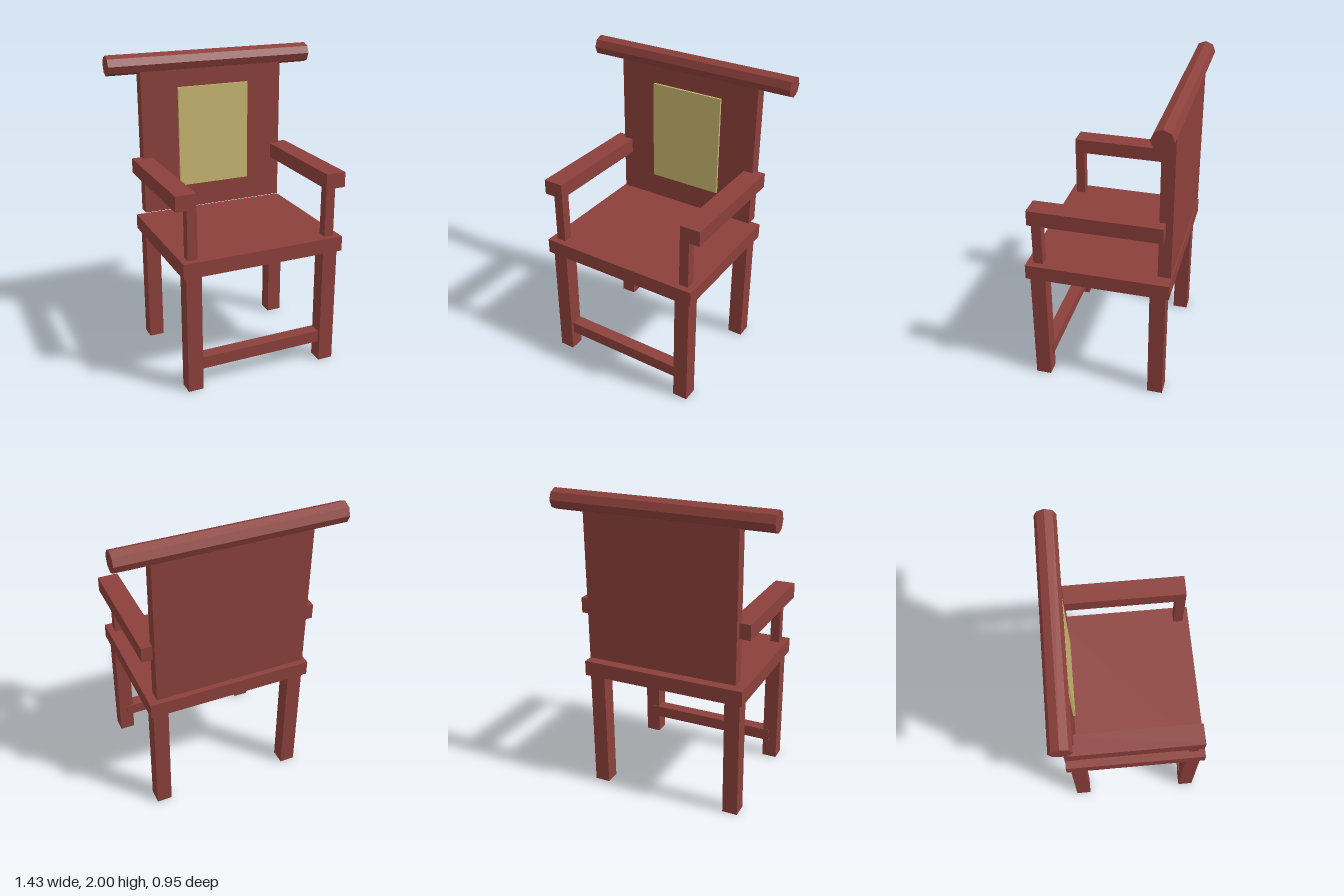
import * as THREE from 'three';

export function createModel() {
  const group = new THREE.Group();
  const wood = new THREE.MeshStandardMaterial({ color: 0x8c403b });
  wood.name = 'red wood';
  const gold = new THREE.MeshStandardMaterial({ color: 0xc9b570 });
  gold.name = 'pale gold';

  // Box given by its extents along each axis
  function box(name, [x0, x1], [y0, y1], [z0, z1], material = wood) {
    const mesh = new THREE.Mesh(new THREE.BoxGeometry(x1 - x0, y1 - y0, z1 - z0), material);
    mesh.position.set((x0 + x1) / 2, (y0 + y1) / 2, (z0 + z1) / 2);
    mesh.name = name;
    group.add(mesh);
  }

  // Box repeated on both sides; x extents are for the left (+x) side
  function pair(name, [x0, x1], y, z) {
    box(name + 'Left', [x0, x1], y, z);
    box(name + 'Right', [-x1, -x0], y, z);
  }

  // Seat and legs
  box('seat', [-0.543, 0.543], [0.795, 0.893], [-0.445, 0.475]);
  pair('frontLeg', [0.42, 0.52], [0, 0.795], [0.353, 0.453]);
  pair('backLeg', [0.42, 0.52], [0, 0.795], [-0.42, -0.32]);
  box('frontStretcher', [-0.462, 0.462], [0.13, 0.21], [0.346, 0.43]);

  // Armrests on front posts
  pair('armPost', [0.437, 0.5], [0.893, 1.212], [0.37, 0.433]);
  pair('armrest', [0.437, 0.57], [1.212, 1.311], [-0.403, 0.433]);

  // Backrest with a raised gold panel
  box('backrest', [-0.5, 0.5], [0.928, 1.93], [-0.445, -0.363]);
  box('backPanel', [-0.25, 0.25], [1.093, 1.77], [-0.363, -0.348], gold);

  // Octagonal top rail
  const railGeometry = new THREE.CylinderGeometry(0.066, 0.066, 1.426, 8).toNonIndexed();
  railGeometry.computeVertexNormals();
  const rail = new THREE.Mesh(railGeometry, wood);
  rail.name = 'topRail';
  rail.rotation.z = Math.PI / 2;
  rail.position.set(0, 1.934, -0.407);
  group.add(rail);

  return group;
}
